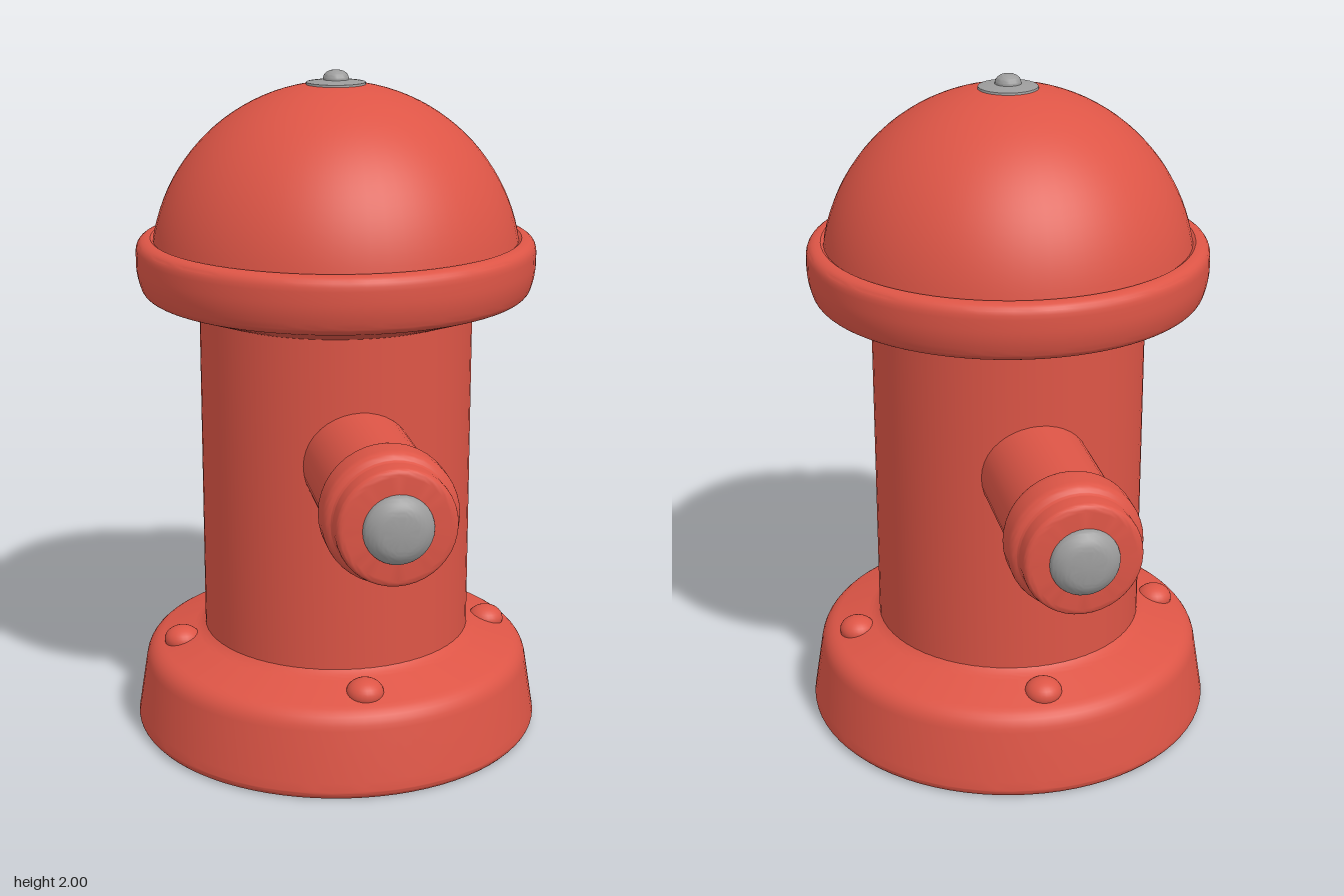
import * as THREE from 'three';
import { toCreasedNormals } from 'three/addons/utils/BufferGeometryUtils.js';

const red = new THREE.MeshStandardMaterial({ color: 0xdd5546 });
red.name = 'red paint';
const grey = new THREE.MeshStandardMaterial({ color: 0x9c9c9c });
grey.name = 'grey metal';

// Turned part from [radius, height, fillet] corners listed bottom to top
function turned(name, material, corners, segments = 64) {
  const pts = [];
  corners.forEach(([r, y, fillet = 0], i) => {
    const p = new THREE.Vector2(r, y);
    if (!fillet) { pts.push(p); return; }
    const toward = ([qr, qy]) => new THREE.Vector2(qr, qy).sub(p).setLength(fillet).add(p);
    const curve = new THREE.QuadraticBezierCurve(toward(corners[i - 1]), p, toward(corners[i + 1]));
    pts.push(...curve.getPoints(6));
  });
  const mesh = new THREE.Mesh(toCreasedNormals(new THREE.LatheGeometry(pts, segments), 0.6), material);
  mesh.name = name;
  return mesh;
}

// Arc of a sphere as [radius, height] corners, from the polar angle down to the pole
function domeArc(radius, centreY, startAngle, steps) {
  return Array.from({ length: steps + 1 }, (_, i) => {
    const a = startAngle * (1 - i / steps);
    return [radius * Math.sin(a), centreY + radius * Math.cos(a)];
  });
}

// Side outlet lying along +z: pipe, stepped cap and metal plug
function makeOutlet(name) {
  const outlet = new THREE.Group();
  outlet.name = name;
  outlet.add(
    turned('outletPipe', red, [[0.16, 0.2], [0.16, 0.76]], 40),
    turned('outletCap', red, [
      [0.15, 0.72], [0.16, 0.72], [0.185, 0.755, 0.02], [0.185, 0.85, 0.025],
      [0.163, 0.862, 0.008], [0.163, 0.925, 0.022], [0, 0.925],
    ], 40),
    turned('outletPlug', grey, [
      [0.095, 0.915], [0.095, 0.938, 0.012], [0.065, 0.963, 0.02], [0, 0.97],
    ], 32),
  );
  outlet.children.forEach((m) => { m.rotation.x = Math.PI / 2; });
  outlet.position.y = 0.93;
  return outlet;
}

export function createModel() {
  const hydrant = new THREE.Group();
  hydrant.name = 'fireHydrant';

  // Foot, barrel and domed bonnet
  hydrant.add(
    turned('base', red, [
      [0, 0], [0.605, 0], [0.619, 0.015, 0.012], [0.613, 0.05],
      [0.582, 0.245, 0.045], [0.42, 0.298, 0.02], [0.4, 0.315],
    ], 80),
    turned('barrel', red, [[0.405, 0.27], [0.405, 1.33]]),
    turned('bonnetRim', red, [
      [0.39, 1.3], [0.41, 1.305], [0.57, 1.36, 0.02], [0.588, 1.42, 0.03],
      [0.588, 1.52, 0.04], [0.545, 1.52], [0.525, 1.505],
    ], 80),
    turned('bonnetDome', red, domeArc(0.545, 1.422, 1.42, 24)),
    turned('topWasher', grey, [[0.088, 1.955], [0.086, 1.966], [0.04, 1.973], [0, 1.975]], 32),
    turned('topKnob', grey, [[0.038, 1.965], [0.038, 1.985, 0.012], [0.02, 2, 0.012], [0, 2]], 24),
  );

  // Two opposite outlets, turned slightly off the front axis
  const turn = -0.2;
  ['frontOutlet', 'backOutlet'].forEach((name, i) => {
    const outlet = makeOutlet(name);
    outlet.rotation.y = turn + i * Math.PI;
    hydrant.add(outlet);
  });

  // Four domed bolts around the foot
  const boltShape = new THREE.SphereGeometry(0.055, 24, 16);
  for (let i = 0; i < 4; i++) {
    const a = turn + i * Math.PI / 2;
    const bolt = new THREE.Mesh(boltShape, red);
    bolt.name = 'baseBolt';
    bolt.scale.y = 0.75;
    bolt.position.set(0.48 * Math.sin(a), 0.272, 0.48 * Math.cos(a));
    hydrant.add(bolt);
  }
  return hydrant;
}
